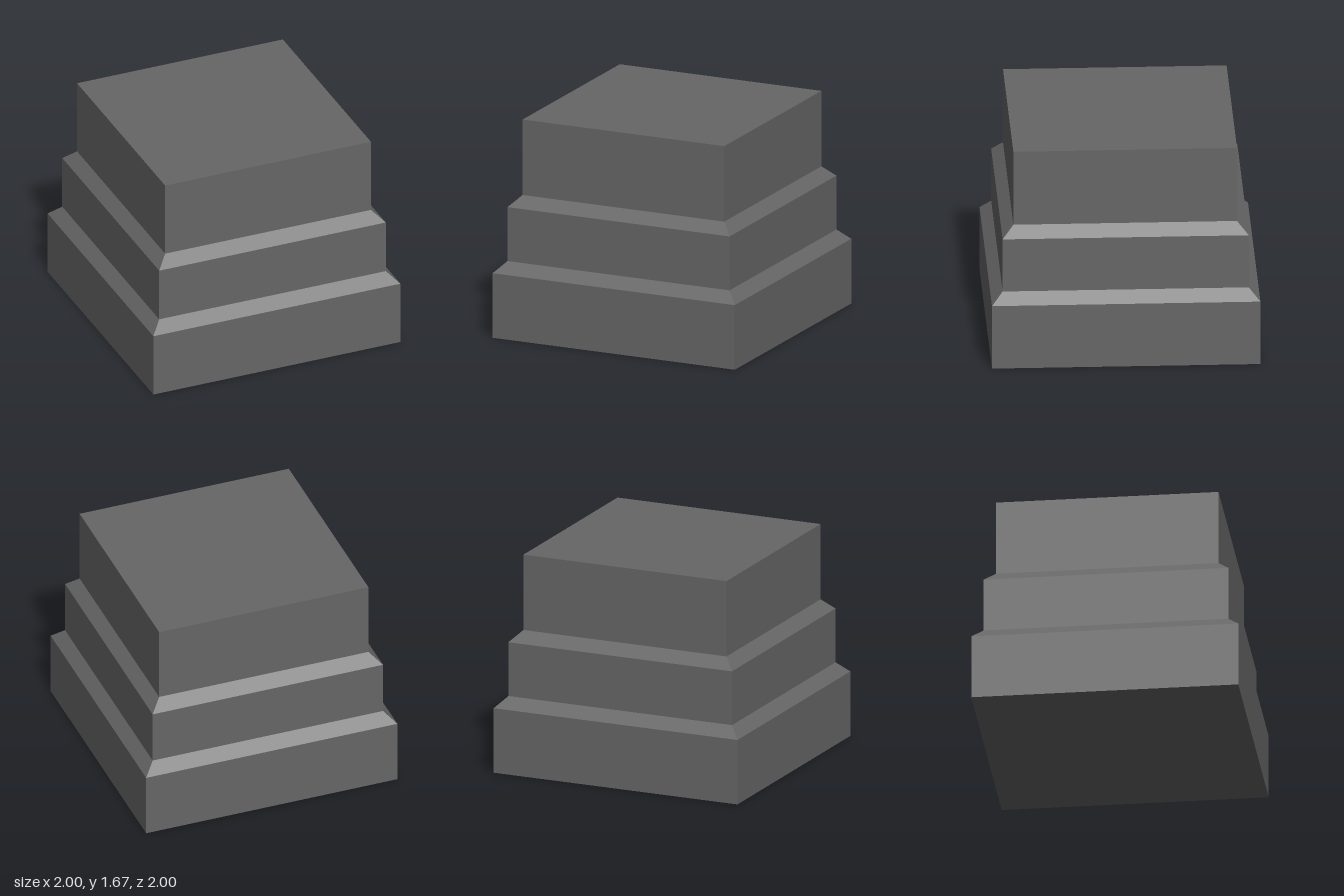
import * as THREE from 'three';

// Square tier swept from a [half-width, height] profile, listed bottom to top
function squareTier(name, profile, material) {
  const points = profile.map(([half, y]) => new THREE.Vector2(half * Math.SQRT2, y));
  const geometry = new THREE.LatheGeometry(points, 4, Math.PI / 4).toNonIndexed();
  geometry.computeVertexNormals(); // flat faces
  const mesh = new THREE.Mesh(geometry, material);
  mesh.name = name;
  return mesh;
}

export function createModel() {
  const group = new THREE.Group();
  group.name = 'steppedPedestal';

  const stone = new THREE.MeshStandardMaterial({ color: 0x666666 });
  stone.name = 'dark grey stone';

  const base = 1, middle = 0.917, top = 0.833;

  group.add(
    // Widest tier with closed underside and sloped shoulder
    squareTier('baseTier', [[0, 0], [base, 0], [base, 0.5], [middle, 0.583]], stone),
    // Middle tier with sloped shoulder
    squareTier('middleTier', [[middle, 0.583], [middle, 1], [top, 1.083]], stone),
    // Top block with flat lid
    squareTier('topBlock', [[top, 1.083], [top, 1.667], [0, 1.667]], stone),
  );
  return group;
}
